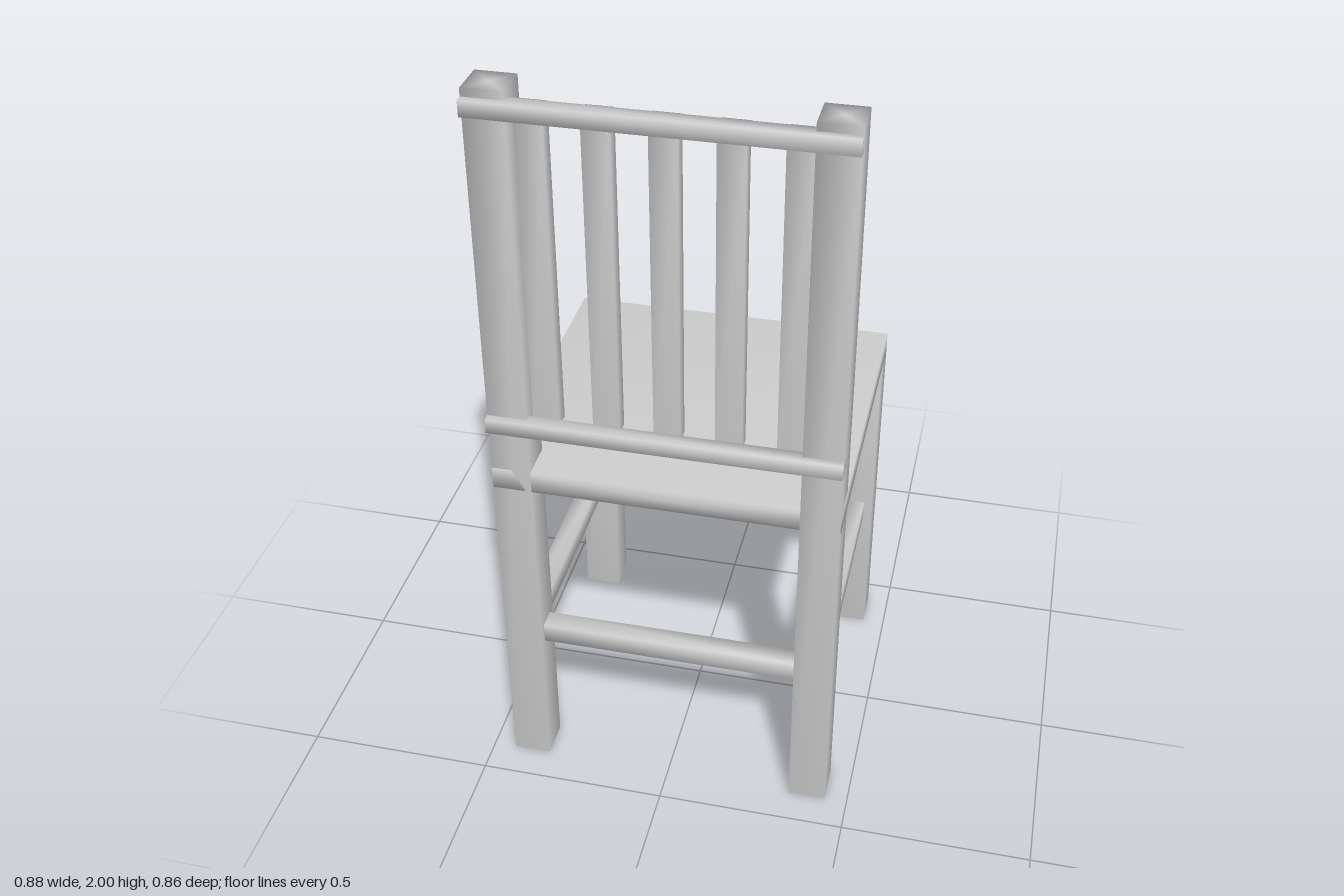
import * as THREE from 'three';
import { mergeVertices } from 'three/addons/utils/BufferGeometryUtils.js';

const material = new THREE.MeshStandardMaterial({ color: 0xcccccc });

// Four-sided bar between two corners, running along one axis, with soft welded normals.
function bar(name, axis, [x0, y0, z0], [x1, y1, z1]) {
  let geo = new THREE.CylinderGeometry(Math.SQRT1_2, Math.SQRT1_2, 1, 4).rotateY(Math.PI / 4);
  if (axis === 'x') geo.rotateZ(Math.PI / 2);
  if (axis === 'z') geo.rotateX(Math.PI / 2);
  geo.scale(x1 - x0, y1 - y0, z1 - z0);
  geo.translate((x0 + x1) / 2, (y0 + y1) / 2, (z0 + z1) / 2);
  geo.deleteAttribute('normal');
  geo.deleteAttribute('uv');
  geo = mergeVertices(geo);
  geo.computeVertexNormals();
  const mesh = new THREE.Mesh(geo, material);
  mesh.name = name;
  return mesh;
}

export function createModel() {
  const chair = new THREE.Group();
  chair.name = 'chair';

  // Seat board
  chair.add(bar('seat', 'z', [-0.44, 0.92, -0.43], [0.44, 0.98, 0.41]));

  // Tall back posts, short legs and side stretchers, mirrored
  for (const [side, s] of [['left', 1], ['right', -1]]) {
    const c = 0.39 * s;
    chair.add(
      bar(side + 'BackPost', 'y', [c - 0.05, 0, 0.31], [c + 0.05, 2, 0.41]),
      bar(side + 'Leg', 'y', [c - 0.05, 0, -0.43], [c + 0.05, 0.92, -0.33]),
      bar(side + 'Stretcher', 'z', [c - 0.027, 0.4, -0.33], [c + 0.027, 0.455, 0.31]),
    );
  }

  // Cross stretchers between the legs
  for (const [name, z] of [['backStretcher', 0.36], ['legStretcher', -0.38]]) {
    chair.add(bar(name, 'x', [-0.34, 0.4, z - 0.027], [0.34, 0.455, z + 0.027]));
  }

  // Backrest rails
  for (const [name, y] of [['lowerRail', 1.12], ['upperRail', 1.96]]) {
    chair.add(bar(name, 'x', [-0.44, y - 0.02, 0.39], [0.44, y + 0.02, 0.43]));
  }

  // Backrest slats
  for (let i = 0; i < 5; i++) {
    const x = -0.296 + 0.151 * i;
    chair.add(bar('slat' + (i + 1), 'y', [x - 0.033, 1.12, 0.346], [x + 0.033, 1.96, 0.39]));
  }

  return chair;
}
